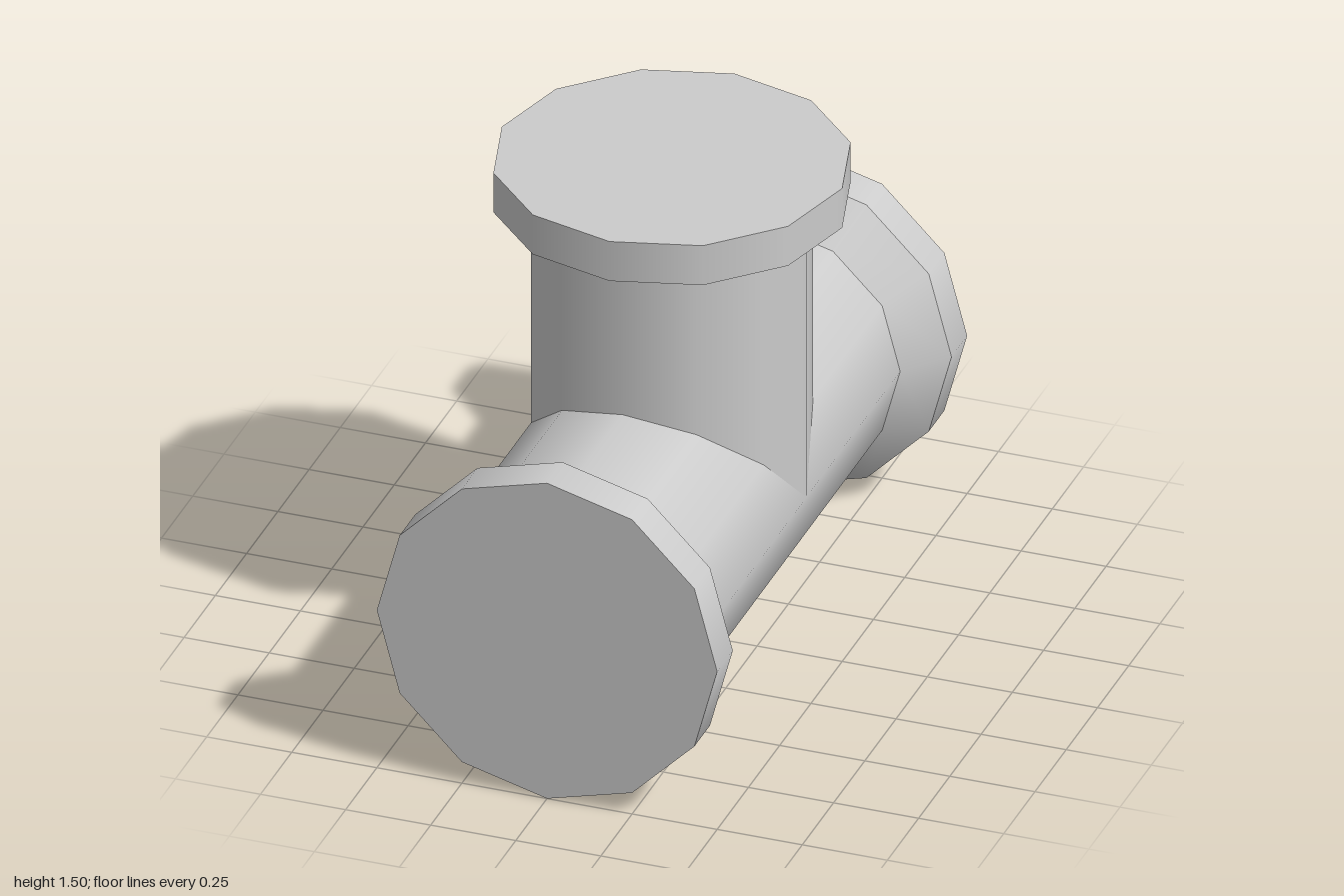
import * as THREE from 'three';

const SIDES = 12;
const PIPE_R = 0.395;
const RIM_R = 0.5;
const AXIS_Y = 0.5;

export function createModel() {
  const group = new THREE.Group();
  const material = new THREE.MeshStandardMaterial({ color: 0xcccccc });

  // A twelve-sided band running from `start` to `end` along its own +y axis
  const band = (name, parent, rStart, rEnd, start, end, open) => {
    const geometry = new THREE.CylinderGeometry(rEnd, rStart, end - start, SIDES, 1, open);
    geometry.translate(0, (start + end) / 2, 0);
    const mesh = new THREE.Mesh(geometry, material);
    mesh.name = name;
    parent.add(mesh);
  };

  // Main pipe: two mirrored halves along z, each with a flared, capped end
  for (const [name, side] of [['front', 1], ['back', -1]]) {
    const half = new THREE.Group();
    half.name = `${name}Half`;
    half.position.y = AXIS_Y;
    half.rotation.x = side * Math.PI / 2;
    band(`${name}Pipe`, half, PIPE_R, PIPE_R, 0, 0.75, true);
    band(`${name}Flare`, half, PIPE_R, RIM_R, 0.75, 0.875, true);
    band(`${name}Rim`, half, RIM_R, RIM_R, 0.875, 1, false);
    group.add(half);
  }

  // Upright branch with a square-shouldered, capped rim
  const branch = new THREE.Group();
  branch.name = 'branch';
  band('branchPipe', branch, PIPE_R, PIPE_R, AXIS_Y, 1.375, true);
  band('branchRim', branch, RIM_R, RIM_R, 1.375, 1.5, false);
  group.add(branch);

  return group;
}
